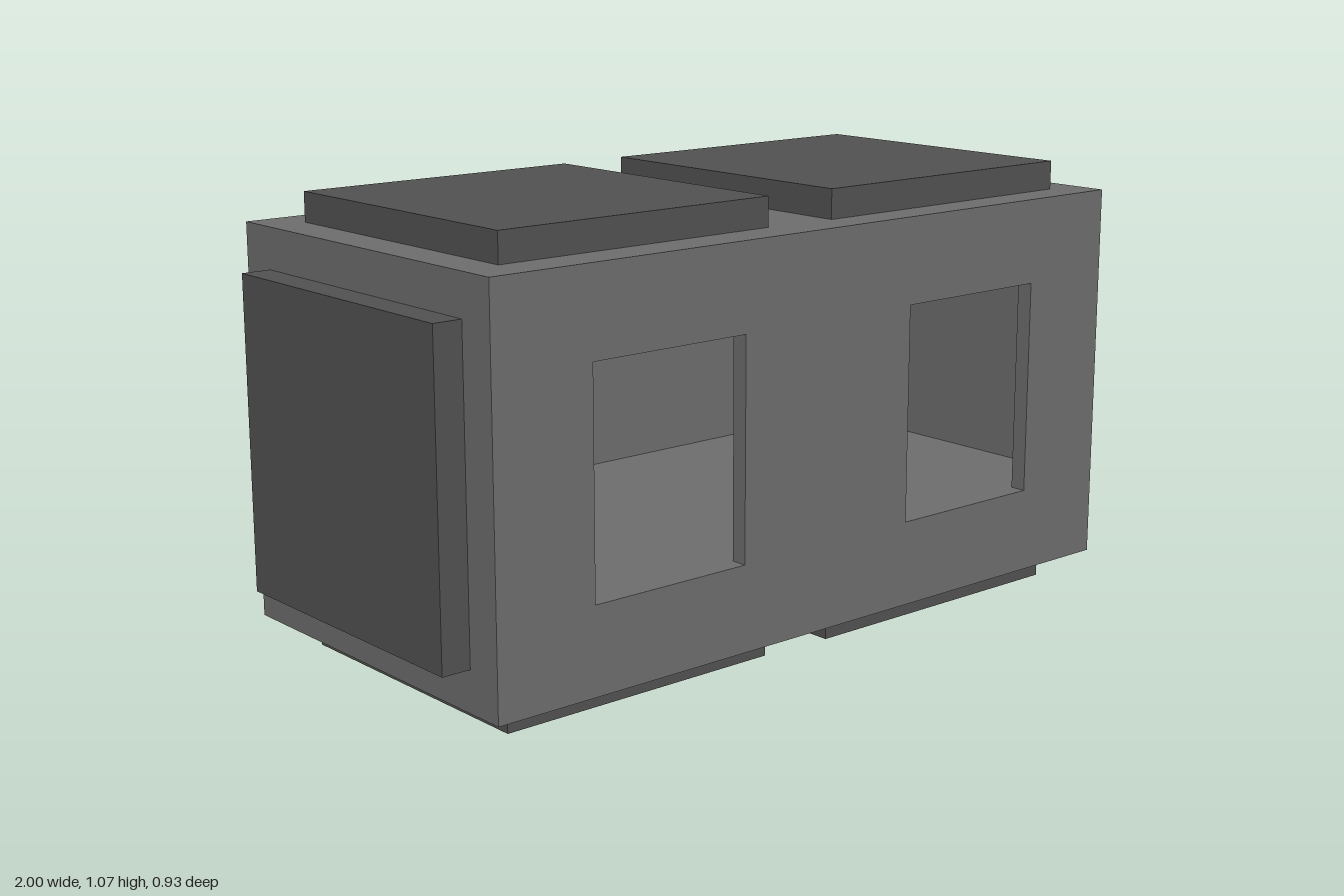
import * as THREE from 'three';

const bodyMat = new THREE.MeshStandardMaterial({ color: 0x6c6c6c });
const panelMat = new THREE.MeshStandardMaterial({ color: 0x505050 });

// Body bounds and the hollow inside it
const X = 0.93, Z = 0.465, Y0 = 0.07, Y1 = 1.0, WALL = 0.04;
const IN_Y0 = 0.275, IN_Y1 = 0.795;

function rect(Path, x0, x1, y0, y1) {
  const p = new Path();
  p.moveTo(x0, y0);
  p.lineTo(x1, y0);
  p.lineTo(x1, y1);
  p.lineTo(x0, y1);
  p.closePath();
  return p;
}

// Rectangular plate of the body outline with rectangular holes, from z0 to z1
function plate(name, holes, z0, z1) {
  const shape = rect(THREE.Shape, -X, X, Y0, Y1);
  for (const h of holes) shape.holes.push(rect(THREE.Path, ...h));
  const geo = new THREE.ExtrudeGeometry(shape, { depth: z1 - z0, bevelEnabled: false });
  geo.translate(0, 0, z0);
  const mesh = new THREE.Mesh(geo, bodyMat);
  mesh.name = name;
  return mesh;
}

// Box given by its bounds
function panel(name, x0, x1, y0, y1, z0, z1) {
  const mesh = new THREE.Mesh(new THREE.BoxGeometry(x1 - x0, y1 - y0, z1 - z0), panelMat);
  mesh.position.set((x0 + x1) / 2, (y0 + y1) / 2, (z0 + z1) / 2);
  mesh.name = name;
  return mesh;
}

export function createModel() {
  const model = new THREE.Group();
  model.name = 'hollowBlock';

  // Hollow body: front wall with two windows, surrounding shell, back wall
  const body = new THREE.Group();
  body.name = 'body';
  const windows = [-1, 1].map((s) => [s * 0.465 - 0.21, s * 0.465 + 0.21, IN_Y0, IN_Y1]);
  body.add(
    plate('frontWall', windows, Z - WALL, Z),
    plate('shell', [[-X + WALL, X - WALL, IN_Y0, IN_Y1]], -Z + WALL, Z - WALL),
    plate('backWall', [], -Z, -Z + WALL)
  );
  model.add(body);

  // Raised panels on top and bottom; the left pair is slightly larger
  for (const [level, y0, y1] of [['top', Y1, 1.07], ['bottom', 0, Y0]]) {
    model.add(
      panel(level + 'PanelRight', -0.835, -0.1, y0, y1, -0.37, 0.365),
      panel(level + 'PanelLeft', 0.085, 0.84, y0, y1, -0.38, 0.375)
    );
  }

  // Raised panels on both ends
  model.add(
    panel('endPanelRight', -1, -X, 0.167, 0.903, -0.37, 0.37),
    panel('endPanelLeft', X, 1, 0.167, 0.903, -0.37, 0.37)
  );
  return model;
}
